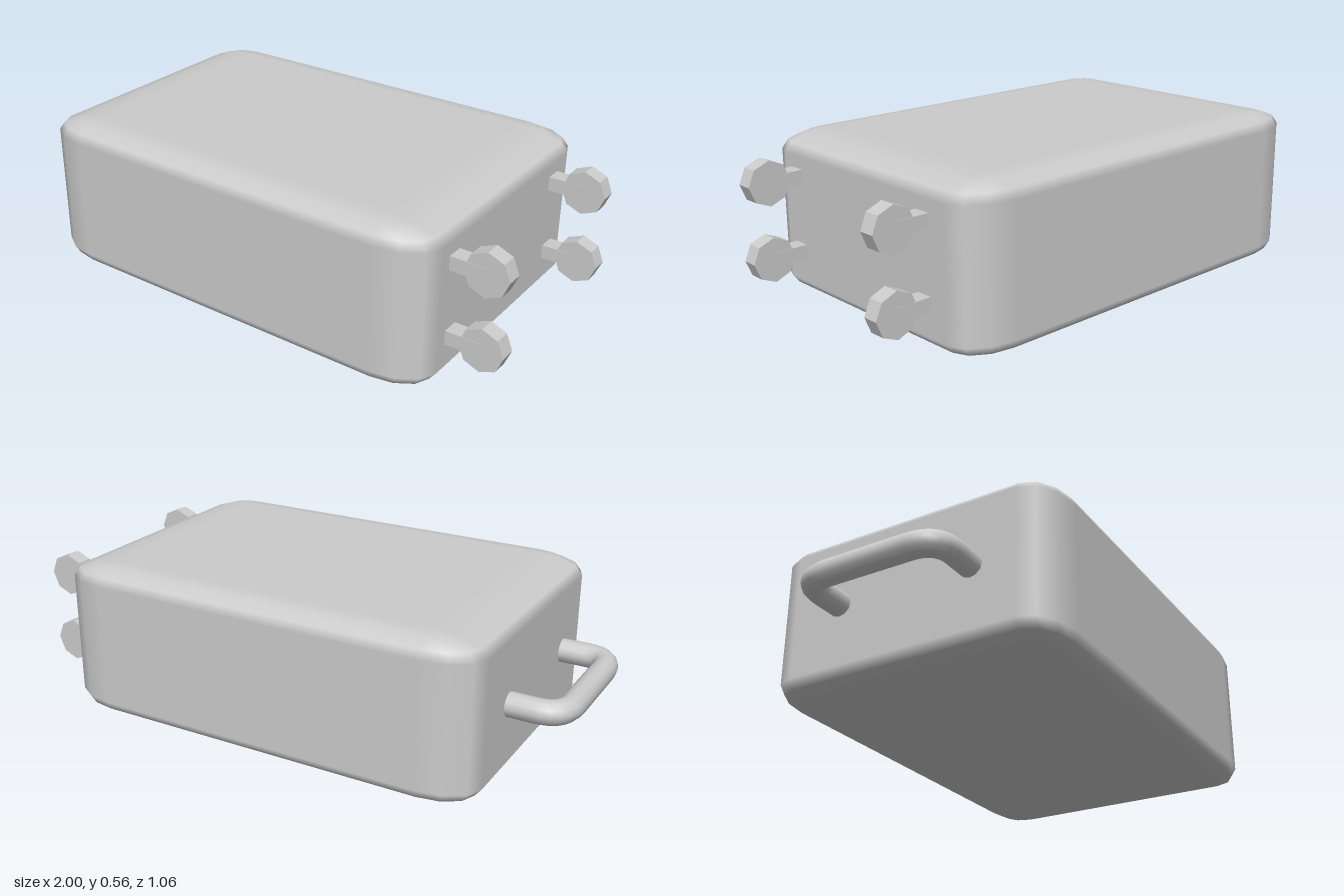
import * as THREE from 'three';

const grey = new THREE.MeshStandardMaterial({ color: 0xcccccc });
const greyFlat = new THREE.MeshStandardMaterial({ color: 0xcccccc, flatShading: true });

function addMesh(parent, name, geometry, material, x = 0, y = 0, z = 0) {
  const mesh = new THREE.Mesh(geometry, material);
  mesh.name = name;
  mesh.position.set(x, y, z);
  parent.add(mesh);
  return mesh;
}

// Box with elliptical rounding: a sphere whose eight octants are pulled apart,
// three facets per quarter turn, with an extra centre row closing each flat end.
function softBox(half, radius) {
  const geometry = new THREE.SphereGeometry(1, 16, 9);
  const pos = geometry.attributes.position;
  const nor = geometry.attributes.normal;
  const step = Math.PI / 6;
  const dir = new THREE.Vector3(), core = new THREE.Vector3(), n = new THREE.Vector3();
  for (let k = 0; k < pos.count; k++) {
    const row = Math.floor(k / 17), col = (k % 17) % 16;
    const quadrant = Math.floor(col / 4);
    const phi = (quadrant * 3 + (col % 4)) * step;
    const ring = THREE.MathUtils.clamp(row - 1, 0, 7);
    const theta = (ring < 4 ? ring : ring - 1) * step;
    dir.set(-Math.cos(phi) * Math.sin(theta), Math.cos(theta), Math.sin(phi) * Math.sin(theta));
    const middle = (quadrant + 0.5) * Math.PI / 2;
    core.copy(half).sub(radius);
    core.x *= -Math.sign(Math.cos(middle));
    core.y *= ring < 4 ? 1 : -1;
    core.z *= Math.sign(Math.sin(middle));
    if (row === 0 || row === 9) core.x = core.z = 0;
    n.copy(dir).divide(radius).normalize();
    core.add(dir.multiply(radius));
    pos.setXYZ(k, core.x, core.y, core.z);
    nor.setXYZ(k, n.x, n.y, n.z);
  }
  return geometry;
}

export function createModel() {
  const suitcase = new THREE.Group();
  suitcase.name = 'suitcase';

  // Rounded shell lying on its back
  const shell = softBox(new THREE.Vector3(0.79, 0.28, 0.53), new THREE.Vector3(0.18, 0.06, 0.115));
  addMesh(suitcase, 'shell', shell, grey, 0.01, 0.28, 0);

  // Carrying handle: straight legs joined by rounded bends
  const path = new THREE.CurvePath();
  const v = (x, z) => new THREE.Vector3(x, 0, z);
  path.add(new THREE.LineCurve3(v(-0.74, 0.245), v(-0.87, 0.245)));
  path.add(new THREE.QuadraticBezierCurve3(v(-0.87, 0.245), v(-0.958, 0.245), v(-0.958, 0.15)));
  path.add(new THREE.LineCurve3(v(-0.958, 0.15), v(-0.958, -0.15)));
  path.add(new THREE.QuadraticBezierCurve3(v(-0.958, -0.15), v(-0.958, -0.245), v(-0.87, -0.245)));
  path.add(new THREE.LineCurve3(v(-0.87, -0.245), v(-0.74, -0.245)));
  addMesh(suitcase, 'handle', new THREE.TubeGeometry(path, 40, 0.042, 12), grey, 0, 0.275, 0.015);

  // Four octagonal wheels, each on a short bracket
  const wheelGeometry = new THREE.CylinderGeometry(0.077, 0.077, 0.057, 8).rotateX(Math.PI / 2);
  const bracketGeometry = new THREE.BoxGeometry(0.14, 0.049, 0.06);
  for (const y of [0.171, 0.433]) {
    for (const z of [-0.317, 0.347]) {
      const caster = new THREE.Group();
      caster.name = 'caster';
      caster.position.set(0.923, y, z);
      addMesh(caster, 'wheel', wheelGeometry, greyFlat);
      addMesh(caster, 'bracket', bracketGeometry, greyFlat, -0.07, 0, 0);
      suitcase.add(caster);
    }
  }
  return suitcase;
}
